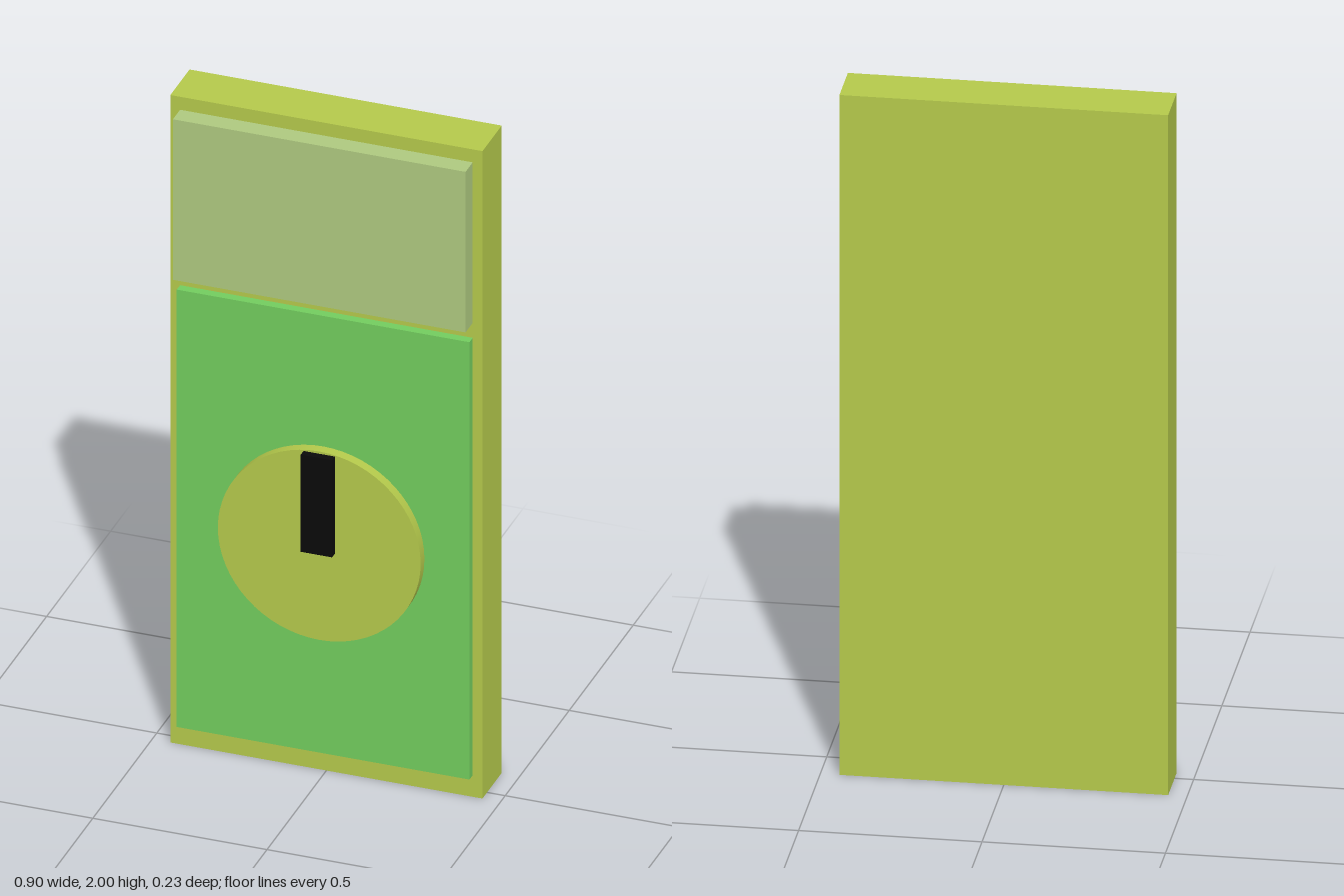
import * as THREE from 'three';

const OLIVE = 0xb4c94b, GREEN = 0x72cc5e, GLASS = 0xaec97f, BLACK = 0x0a0a0a;

function add(group, name, geometry, color, x, y, z) {
  const mesh = new THREE.Mesh(geometry, new THREE.MeshStandardMaterial({ color }));
  mesh.name = name;
  mesh.position.set(x, y, z);
  group.add(mesh);
  return mesh;
}

// Box given by its width and its y and z extents, centred on x = 0
function slab(group, name, color, width, y0, y1, z0, z1) {
  const geometry = new THREE.BoxGeometry(width, y1 - y0, z1 - z0);
  return add(group, name, geometry, color, 0, (y0 + y1) / 2, (z0 + z1) / 2);
}

export function createModel() {
  const model = new THREE.Group();
  model.name = 'handheldMeter';

  // Case with the raised screen and the control panel on its front
  slab(model, 'case', OLIVE, 0.896, 0, 2, -0.114, 0.036);
  slab(model, 'screen', GLASS, 0.84, 1.464, 1.96, 0.03, 0.092);
  slab(model, 'controlPanel', GREEN, 0.84, 0.067, 1.418, 0.03, 0.062);

  // Round selector dial facing forward
  const dial = new THREE.CylinderGeometry(0.291, 0.291, 0.034, 64).rotateX(Math.PI / 2);
  add(model, 'selectorDial', dial, OLIVE, 0, 0.724, 0.075);

  // Pointer bar on the upper half of the dial
  slab(model, 'dialPointer', BLACK, 0.09, 0.708, 1.008, 0.088, 0.114);

  return model;
}
